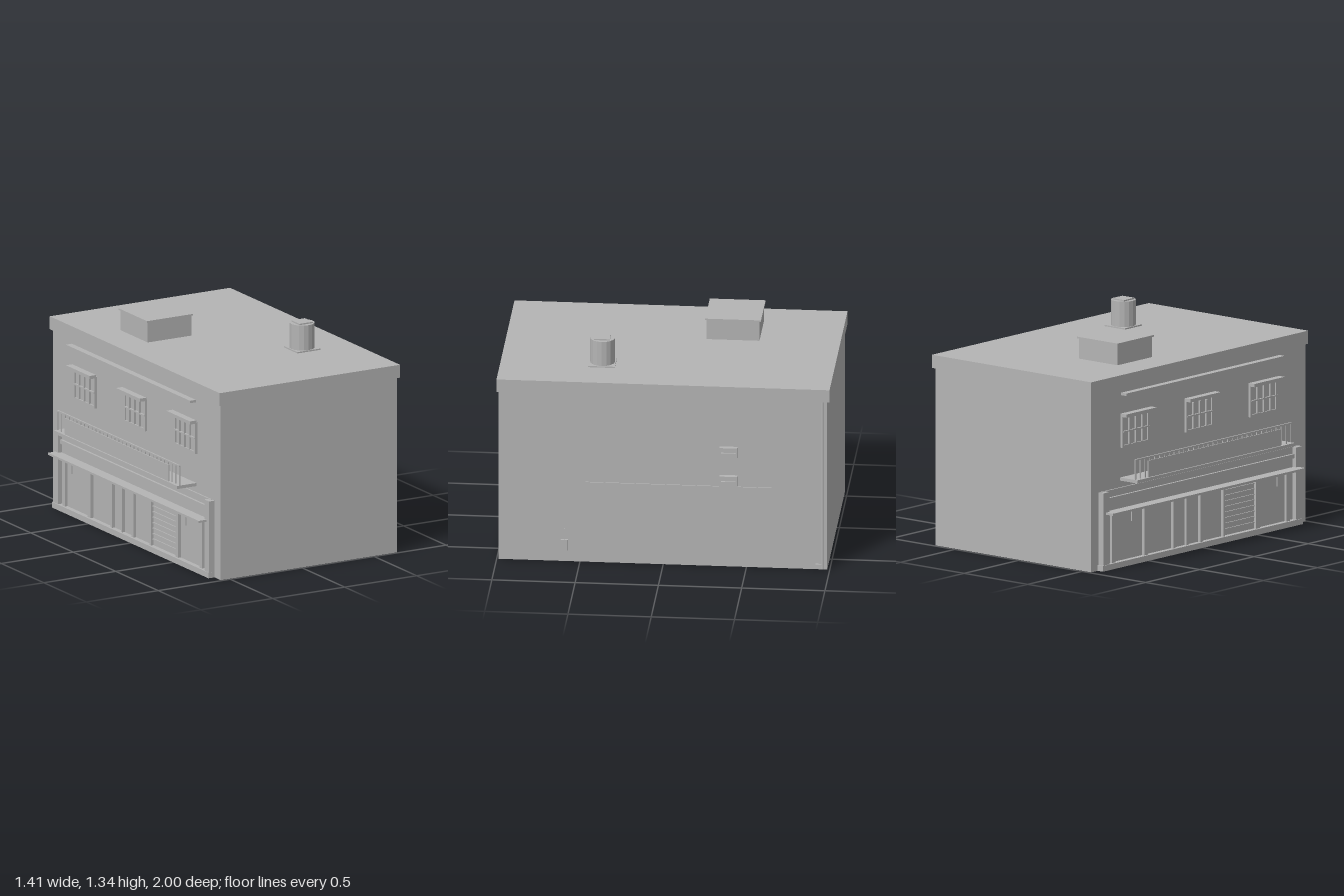
import * as THREE from 'three';

export function createModel() {
  const model = new THREE.Group();
  const grey = new THREE.MeshStandardMaterial({ color: 0xb4b4b4 });
  grey.name = 'plain grey';

  // Box given by its min/max extents on each axis
  function box(name, x0, x1, y0, y1, z0, z1, parent = model) {
    const mesh = new THREE.Mesh(new THREE.BoxGeometry(x1 - x0, y1 - y0, z1 - z0), grey);
    mesh.position.set((x0 + x1) / 2, (y0 + y1) / 2, (z0 + z1) / 2);
    mesh.name = name;
    parent.add(mesh);
    return mesh;
  }
  function group(name) {
    const g = new THREE.Group();
    g.name = name;
    model.add(g);
    return g;
  }

  // Main block and overhanging flat roof
  box('buildingBody', -0.56, 0.665, 0, 1.085, -0.985, 0.99);
  box('roofSlab', -0.573, 0.68, 1.085, 1.165, -1, 1);

  // Roof hatch
  const hatch = group('roofHatch');
  box('hatchBody', -0.366, -0.063, 1.165, 1.29, -0.515, -0.197, hatch);
  box('hatchLid', -0.375, -0.055, 1.29, 1.3, -0.525, -0.19, hatch);

  // Roof vent
  const vent = group('roofVent');
  box('ventBase', 0.28, 0.44, 1.165, 1.173, 0.31, 0.47, vent);
  const drumGeometry = new THREE.CylinderGeometry(0.075, 0.075, 0.155, 16).toNonIndexed();
  drumGeometry.computeVertexNormals();
  const drum = new THREE.Mesh(drumGeometry, grey);
  drum.name = 'ventDrum';
  drum.position.set(0.36, 1.2505, 0.39);
  vent.add(drum);
  box('ventCap', 0.313, 0.407, 1.328, 1.336, 0.343, 0.437, vent);

  // Upper ledge above the windows
  box('upperLedge', -0.62, -0.578, 1.045, 1.06, -0.73, 0.73);

  // Three windows: frame, glazing bars and a hood
  for (const z of [-0.59, 0, 0.59]) {
    const win = group('window');
    box('windowHood', -0.62, -0.575, 0.912, 0.932, z - 0.14, z + 0.14, win);
    box('windowPane', -0.567, -0.56, 0.72, 0.915, z - 0.12, z + 0.12, win);
    for (const s of [-1, 1]) {
      box('windowJamb', -0.576, -0.56, 0.72, 0.915, z + s * 0.118 - 0.007, z + s * 0.118 + 0.007, win);
      const y = 0.8175 + s * 0.091;
      box('windowRail', -0.576, -0.56, y - 0.007, y + 0.007, z - 0.125, z + 0.125, win);
    }
    for (const dz of [-0.06, 0, 0.06]) {
      box('glazingBar', -0.58, -0.567, 0.735, 0.895, z + dz - 0.004, z + dz + 0.004, win);
    }
    box('crossBar', -0.58, -0.567, 0.812, 0.82, z - 0.12, z + 0.12, win);
  }

  // Balcony slab, solid sign board and railing
  const balcony = group('balcony');
  box('balconySlab', -0.705, -0.57, 0.522, 0.541, -0.73, 0.722, balcony);
  box('frontBoard', -0.695, -0.689, 0.541, 0.642, -0.615, 0.605, balcony);
  box('handRail', -0.688, -0.678, 0.656, 0.665, -0.725, 0.717, balcony);
  for (let i = 0; i <= 32; i++) {
    const z = -0.72 + i * 0.0448;
    box('baluster', -0.686, -0.68, 0.541, 0.657, z - 0.004, z + 0.004, balcony);
  }

  // Shopfront: backing panel, end pilasters, beam, plinth and canopy
  const shop = group('shopfront');
  box('shopPanel', -0.57, -0.56, 0, 0.478, -0.9, 0.89, shop);
  box('plinth', -0.602, -0.56, 0, 0.035, -0.925, 0.917, shop);
  box('canopy', -0.65, -0.575, 0.342, 0.355, -0.89, 0.883, shop);
  box('fasciaBeam', -0.585, -0.565, 0.41, 0.435, -0.87, 0.865, shop);
  for (const s of [-1, 1]) {
    box('endPilaster', -0.597, -0.56, 0, 0.476, s * 0.888 - 0.028, s * 0.888 + 0.028, shop);
    box('canopyBracket', -0.621, -0.613, 0.272, 0.343, s * 0.67 - 0.008, s * 0.67 + 0.008, shop);
  }

  // Shopfront posts, as [centre z, width]
  const posts = [[-0.81, 0.03], [-0.51, 0.035], [-0.25, 0.022], [-0.13, 0.016],
    [0, 0.022], [0.21, 0.016], [0.52, 0.035], [0.8, 0.03]];
  for (const [z, w] of posts) {
    box('shopPost', -0.588, -0.565, 0.03, 0.343, z - w / 2, z + w / 2, shop);
  }

  // Slatted shutter
  for (let i = 0; i < 8; i++) {
    const y = 0.07 + i * 0.034;
    box('shutterSlat', -0.578, -0.565, y, y + 0.007, 0.22, 0.5, shop);
  }

  // Left wall: cable run, vent hoods, meter box and downpipe
  box('cableRun', 0.665, 0.672, 0.511, 0.517, -0.66, 0.465);
  for (const y of [0.558, 0.742]) {
    const hood = group('wallVent');
    box('ventBox', 0.665, 0.694, y - 0.032, y + 0.032, -0.446, -0.339, hood);
    box('ventFin', 0.694, 0.704, y - 0.003, y + 0.003, -0.437, -0.35, hood);
  }
  box('meterBox', 0.665, 0.682, 0.074, 0.142, 0.572, 0.614);
  box('meterConduit', 0.665, 0.67, 0.142, 0.212, 0.59, 0.596);
  const pipe = new THREE.Mesh(new THREE.CylinderGeometry(0.007, 0.007, 1.08, 10), grey);
  pipe.name = 'downpipe';
  pipe.position.set(0.672, 0.545, -0.957);
  model.add(pipe);
  box('pipeOutlet', 0.666, 0.678, 0.028, 0.036, -0.955, -0.915);

  return model;
}
